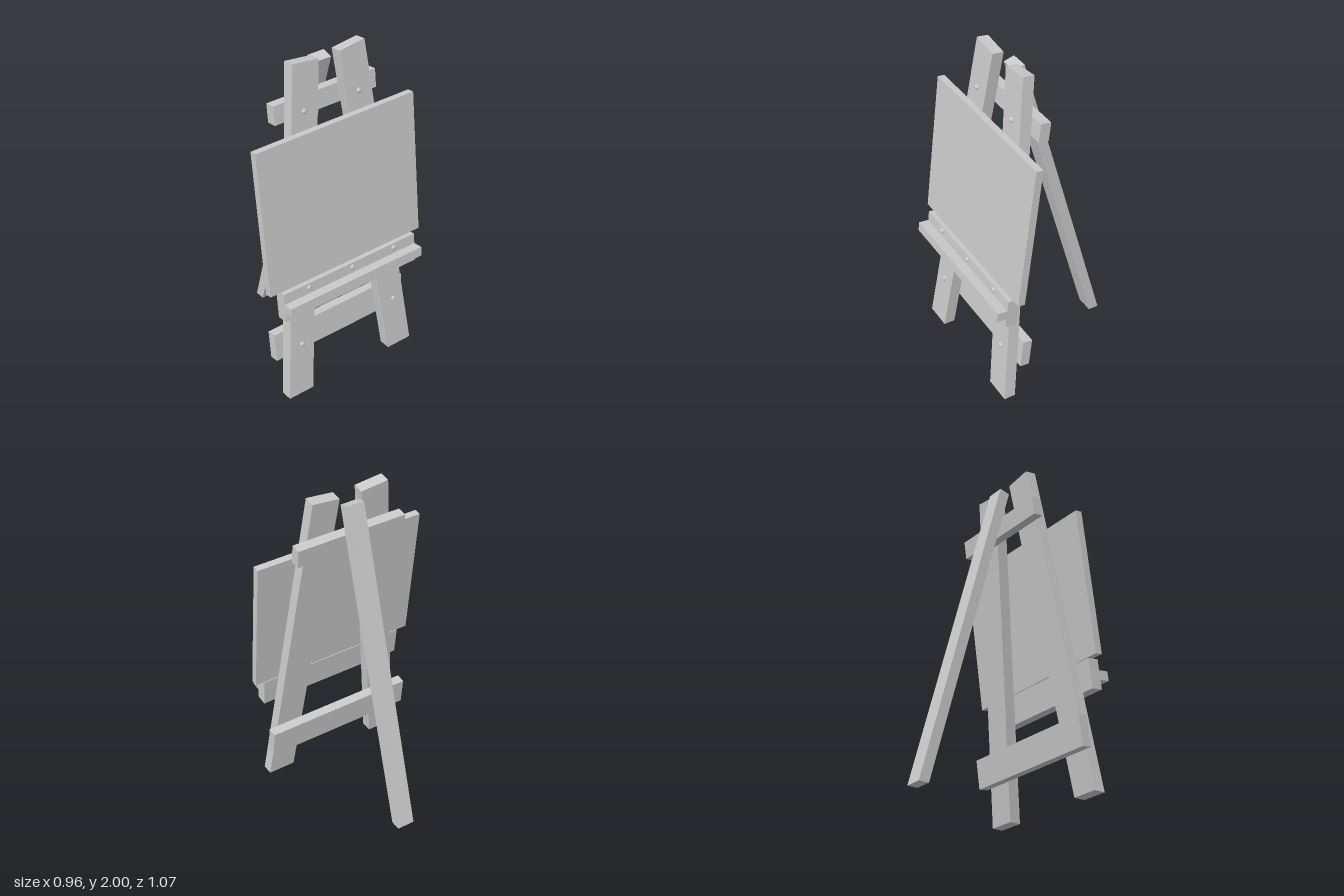
import * as THREE from 'three';

const material = new THREE.MeshStandardMaterial({ color: 0xcccccc });
const TILT = 0.1278;      // backward lean of the front frame
const LEG = 0.0685;       // front leg thickness

function add(parent, name, geometry) {
  const mesh = new THREE.Mesh(geometry, material);
  mesh.name = name;
  parent.add(mesh);
  return mesh;
}

// box given by its limits on each axis
function bar(parent, name, [x0, x1], [y0, y1], [z0, z1]) {
  const g = new THREE.BoxGeometry(x1 - x0, y1 - y0, z1 - z0);
  g.translate((x0 + x1) / 2, (y0 + y1) / 2, (z0 + z1) / 2);
  return add(parent, name, g);
}

// splayed leg: foot cut level with the ground, top cut square to the leg
function frontLeg(parent, name, foot, top) {
  const g = new THREE.BoxGeometry(1, 1, 1);
  const p = g.attributes.position;
  for (let i = 0; i < p.count; i++) {
    const x = p.getX(i) > 0 ? LEG : 0;
    const isTop = p.getY(i) > 0;
    const side = p.getZ(i) > 0 ? 1 : 0;
    const z = (isTop ? top : foot)[side];
    const outer = Math.abs(z) > 0.15;
    const y = isTop ? (outer ? 2.007 : 1.988) : -x * Math.tan(TILT);
    p.setXYZ(i, x, y, z);
  }
  g.computeVertexNormals();
  return add(parent, name, g);
}

function screw(parent, x, y, z) {
  const s = add(parent, 'screwHead', new THREE.SphereGeometry(0.016, 16, 10));
  s.scale.x = 0.75;
  s.position.set(x, y, z);
}

export function createModel() {
  const model = new THREE.Group();
  model.name = 'easel';

  // leaning front frame: local x points out of the board, y runs up the legs
  const frame = new THREE.Group();
  frame.name = 'frontFrame';
  frame.position.x = 0.36;
  frame.rotation.z = TILT;
  model.add(frame);

  frontLeg(frame, 'leftFrontLeg', [0.281, 0.45], [0.058, 0.228]);
  frontLeg(frame, 'rightFrontLeg', [-0.461, -0.291], [-0.249, -0.08]);

  // crossbars behind the legs
  bar(frame, 'upperCrossbar', [-0.061, 0], [1.67, 1.781], [-0.363, 0.323]);
  bar(frame, 'lowerCrossbar', [-0.058, 0], [0.232, 0.408], [-0.474, 0.466]);

  // board and the ledge it rests on
  bar(frame, 'board', [LEG + 0.001, 0.112], [0.75, 1.621], [-0.533, 0.533]);
  bar(frame, 'ledge', [LEG, 0.138], [0.569, 0.746], [-0.474, 0.466]);
  bar(frame, 'trayLip', [0.138, 0.199], [0.625, 0.682], [-0.474, 0.466]);

  // screw heads
  for (const z of [0.178, -0.19]) screw(frame, LEG, 1.728, z);
  for (const z of [0.329, -0.35]) screw(frame, LEG, 0.32, z);
  for (const z of [0.294, -0.013, -0.315]) screw(frame, 0.138, 0.719, z);

  // rear prop leg
  const profile = new THREE.Shape([
    new THREE.Vector2(-0.48, 0),
    new THREE.Vector2(-0.416, 0),
    new THREE.Vector2(0.118, 1.928),
    new THREE.Vector2(0.055, 1.945),
  ]);
  const rear = new THREE.ExtrudeGeometry(profile, { depth: 0.109, bevelEnabled: false });
  rear.translate(0, 0, -0.069);
  add(model, 'rearLeg', rear);

  return model;
}
